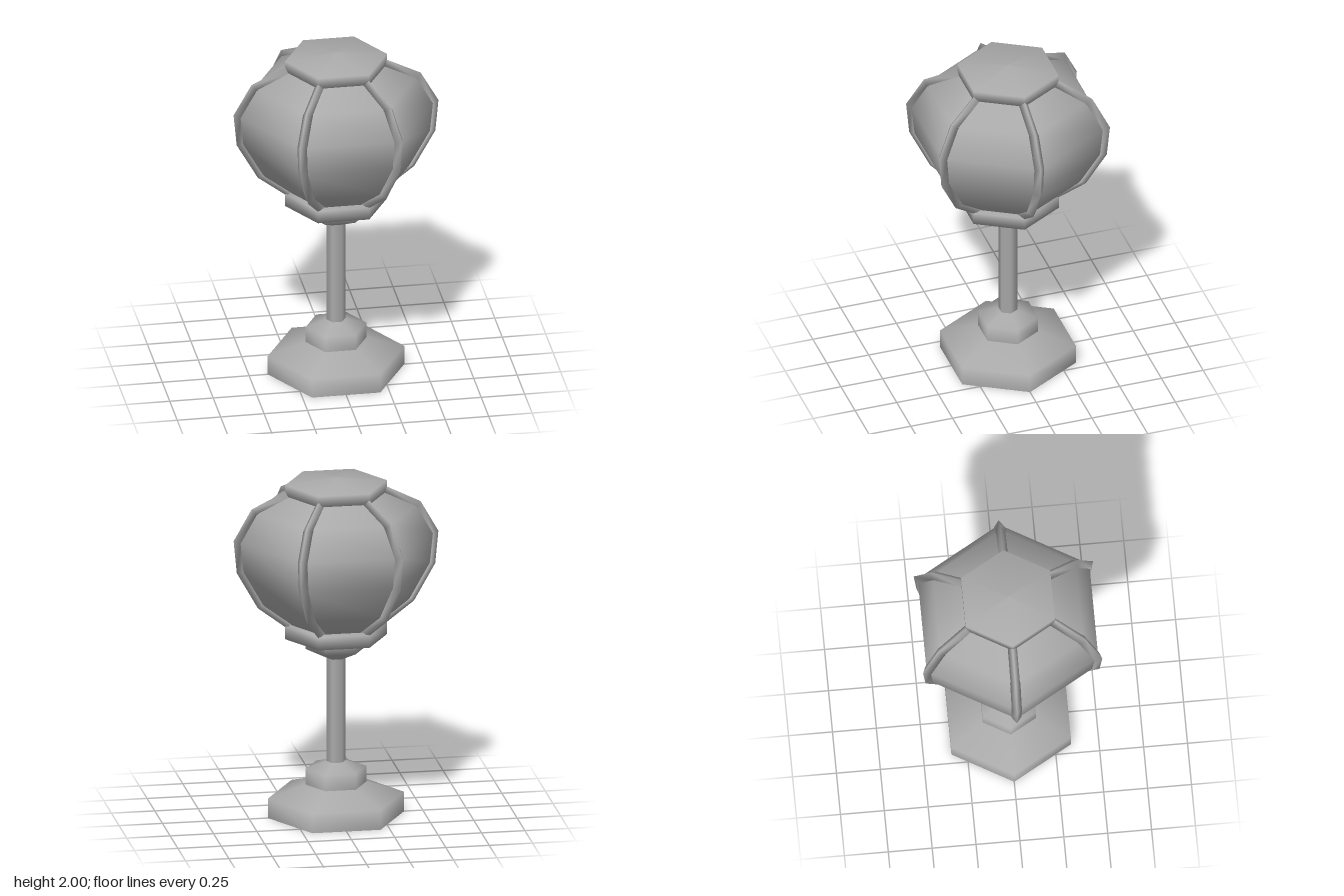
import * as THREE from 'three';

const SIDES = 6;

// Rib centre ridge as [radius, height], bottom to top
const RIB = [[0.285, 1.12], [0.45, 1.245], [0.572, 1.46], [0.59, 1.65], [0.487, 1.832], [0.29, 1.93]];

// Moves a profile inward along its own normal
function inset(profile, d) {
  return profile.map((p, i) => {
    const a = profile[Math.max(i - 1, 0)];
    const b = profile[Math.min(i + 1, profile.length - 1)];
    const dx = b[0] - a[0], dy = b[1] - a[1], l = Math.hypot(dx, dy);
    return [p[0] - d * dy / l, p[1] + d * dx / l];
  });
}

// Smooth-shaded hexagonal turning with a corner on +x
function turned(name, profile, material) {
  const points = profile.map(([r, y]) => new THREE.Vector2(r, y));
  const mesh = new THREE.Mesh(new THREE.LatheGeometry(points, SIDES, Math.PI / 2), material);
  mesh.name = name;
  return mesh;
}

// Curved strip with a triangular section: side, ridge, side
function ribGeometry(halfWidth, depth) {
  const inner = inset(RIB, depth);
  const positions = [], index = [];
  RIB.forEach(([r, y], i) => {
    const [ri, yi] = inner[i];
    positions.push(ri, yi, -halfWidth, r, y, 0, ri, yi, halfWidth);
    if (i === RIB.length - 1) return;
    for (let j = 0; j < 3; j++) {
      const a = i * 3 + j, b = i * 3 + (j + 1) % 3;
      index.push(a, a + 3, b, b, a + 3, b + 3);
    }
  });
  const t = (RIB.length - 1) * 3;
  index.push(0, 1, 2, t, t + 2, t + 1);
  const geometry = new THREE.BufferGeometry();
  geometry.setAttribute('position', new THREE.Float32BufferAttribute(positions, 3));
  geometry.setIndex(index);
  geometry.computeVertexNormals();
  return geometry;
}

export function createModel() {
  const grey = new THREE.MeshStandardMaterial({ color: 0xaaaaaa, side: THREE.DoubleSide });
  grey.name = 'grey';
  const model = new THREE.Group();
  model.name = 'lampPost';

  // Hollow foot, collar and pole
  model.add(
    turned('foot', [[0.393, 0], [0.393, 0.115], [0.175, 0.187]], grey),
    turned('footCollar', [[0.175, 0.18], [0.175, 0.28], [0.05, 0.322]], grey),
    turned('pole', [[0.055, 0.3], [0.055, 0.95]], grey)
  );

  // Cup and ring that carry the globe
  model.add(
    turned('cup', [[0.05, 0.93], [0.175, 0.99], [0.175, 1.04]], grey),
    turned('lowerRing', [[0.15, 1.037], [0.295, 1.055], [0.295, 1.13], [0.24, 1.135]], grey)
  );

  // Faceted globe just inside the ribs
  model.add(turned('globe', inset(RIB, 0.026), grey));

  // One rib on each corner of the globe
  const ribs = new THREE.Group();
  ribs.name = 'ribs';
  const geometry = ribGeometry(0.029, 0.036);
  for (let i = 0; i < SIDES; i++) {
    const rib = new THREE.Mesh(geometry, grey);
    rib.name = 'rib';
    rib.rotation.y = i * Math.PI * 2 / SIDES;
    ribs.add(rib);
  }
  model.add(ribs);

  // Low pointed cap
  model.add(turned('cap', [[0.24, 1.9], [0.293, 1.902], [0.293, 1.966], [0, 2]], grey));
  return model;
}
